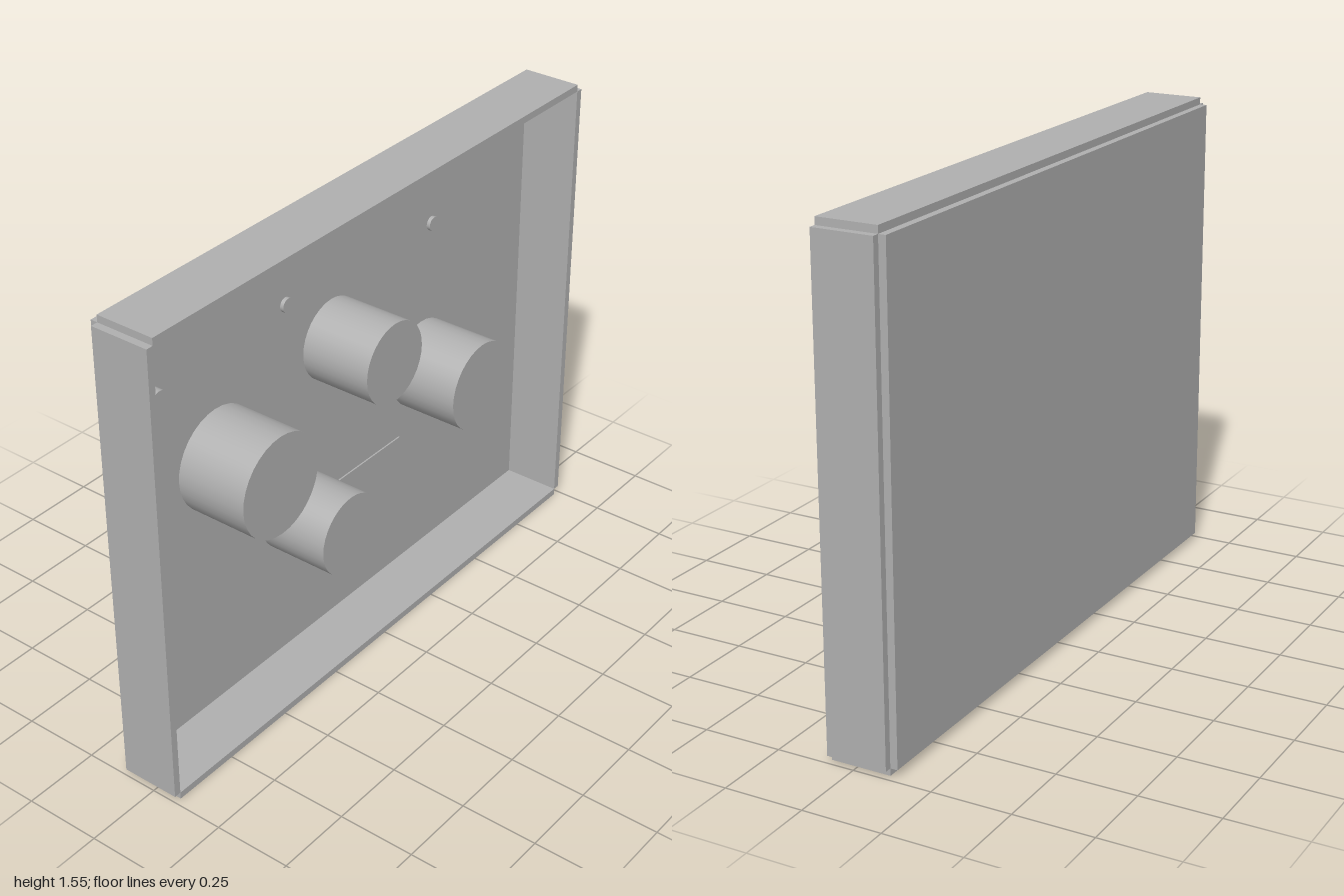
import * as THREE from 'three';

export function createModel() {
  const model = new THREE.Group();
  model.name = 'tray';
  const grey = new THREE.MeshStandardMaterial({ color: 0xb0b0b0 });
  grey.name = 'plain grey';

  const T = 0.023;               // sheet thickness
  const W = 2, H = 1.553;        // overall width and height
  const BACK = -0.13, FLOOR = BACK + T, FRONT = 0.085;

  const add = (name, geometry, x, y, z) => {
    const mesh = new THREE.Mesh(geometry, grey);
    mesh.name = name;
    mesh.position.set(x, y, z);
    model.add(mesh);
  };

  // Back panel
  add('backPanel', new THREE.BoxGeometry(W - 2 * T, H - 2 * T, T), 0, H / 2, BACK + T / 2);

  // Four rim walls, leaving notched corners
  const depth = FRONT - FLOOR, midZ = (FRONT + FLOOR) / 2;
  for (const [side, s] of [['left', 1], ['right', -1]]) {
    add(side + 'Wall', new THREE.BoxGeometry(T, H - 2 * T, depth), s * (W - T) / 2, H / 2, midZ);
  }
  for (const [name, y] of [['topWall', H - T / 2], ['bottomWall', T / 2]]) {
    add(name, new THREE.BoxGeometry(W - 2 * T, T, depth), 0, y, midZ);
  }

  // Round posts standing on the panel: x, y, radius, length
  const post = (name, x, y, r, length) => {
    const g = new THREE.CylinderGeometry(r, r, length, 32).rotateX(Math.PI / 2);
    g.translate(0, 0, length / 2);
    add(name, g, x, y, FLOOR);
  };
  [
    [-0.545, 0.885, 0.164],
    [-0.02, 1.035, 0.133],
    [0.432, 0.734, 0.149],
    [-0.23, 0.538, 0.133],
  ].forEach(([x, y, r], i) => post('largePost' + (i + 1), x, y, r, 0.237));

  // Small pin and studs
  post('pin', -0.8, 1.215, 0.032, 0.034);
  [[-0.23, 1.245], [0.477, 1.215], [0.763, 0.343]]
    .forEach(([x, y], i) => post('stud' + (i + 1), x, y, 0.023, 0.012));

  // Thin square plate on the panel
  add('squarePlate', new THREE.BoxGeometry(0.32, 0.32, 0.005), 0.16, 0.347, FLOOR + 0.0025);

  return model;
}
